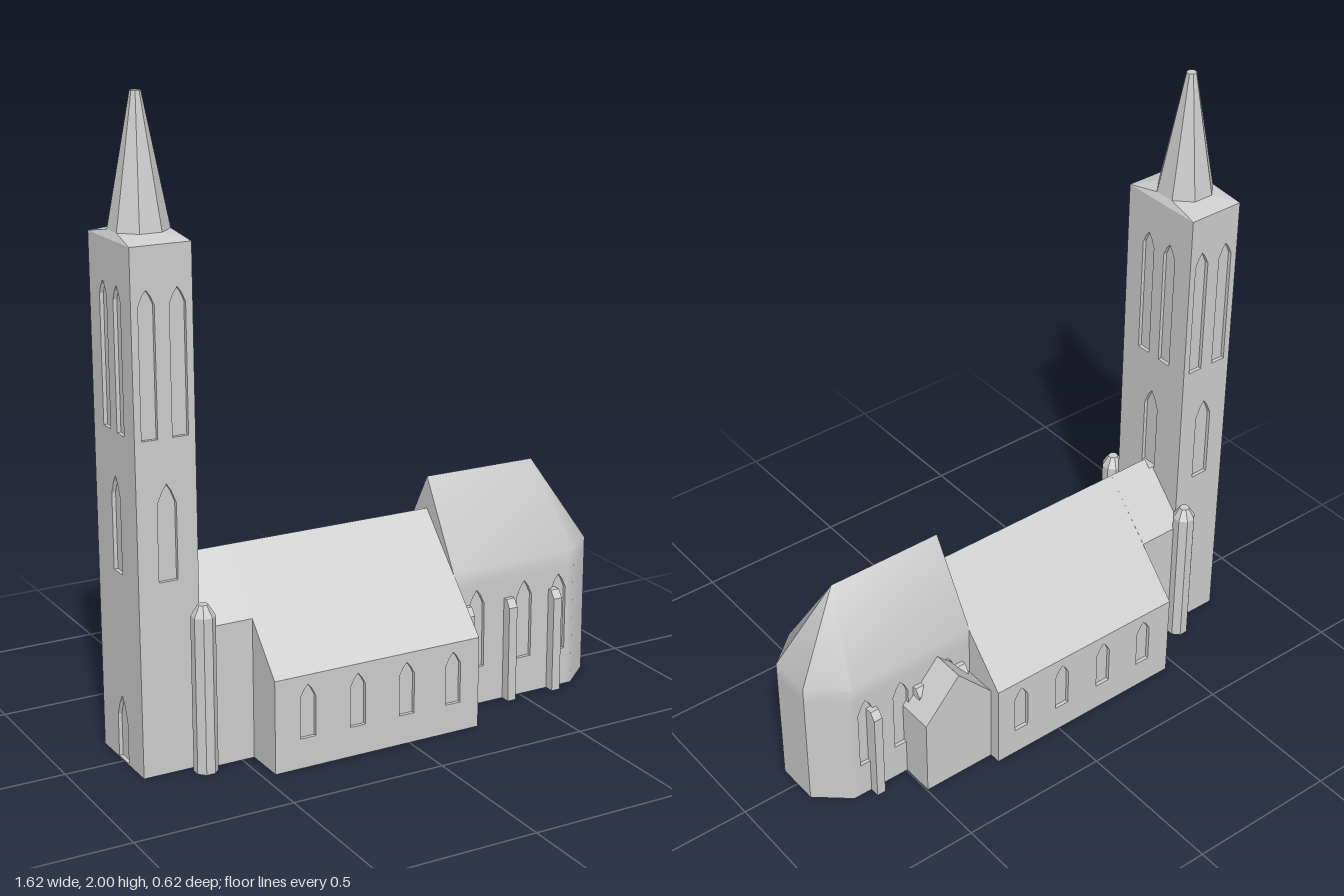
import * as THREE from 'three';
import { toCreasedNormals } from 'three/addons/utils/BufferGeometryUtils.js';
import { ConvexGeometry } from 'three/addons/geometries/ConvexGeometry.js';

const stone = new THREE.MeshStandardMaterial({ color: 0xcccccc });
stone.name = 'stone';
const D = 0.012; // depth of the window recesses

function add(group, name, geometry, x = 0, y = 0, z = 0, turn = 0) {
  const mesh = new THREE.Mesh(geometry, stone);
  mesh.name = name;
  mesh.position.set(x, y, z);
  mesh.rotation.y = turn;
  group.add(mesh);
  return mesh;
}

const polygon = (pts) => new THREE.Shape(pts.map(([x, y]) => new THREE.Vector2(x, y)));
const extrude = (shape, depth) => new THREE.ExtrudeGeometry(shape, { depth, bevelEnabled: false });

// Solid with a (z, y) profile running along x
function prismX(group, name, pts, x0, x1) {
  return add(group, name, extrude(polygon(pts), x1 - x0), x0, 0, 0, Math.PI / 2);
}

// Pointed window outline: centre, half width, sill, spring and tip
function lancet([cx, w, sill, spring, tip]) {
  return polygon([[cx - w, sill], [cx - w, spring], [cx - w * 0.5, spring + (tip - spring) * 0.62], [cx, tip],
    [cx + w * 0.5, spring + (tip - spring) * 0.62], [cx + w, spring], [cx + w, sill]]);
}

// Thin wall with window openings, outer face at local z = 0
function panel(x0, x1, top, windows) {
  const shape = polygon([[x0, 0], [x1, 0], [x1, top], [x0, top]]);
  shape.holes = windows.map(lancet);
  return extrude(shape, D).translate(0, 0, -D);
}

const flat = (g) => toCreasedNormals(g, 0.2);

function buildTower() {
  const g = new THREE.Group();
  g.name = 'tower';
  const W = 0.095, L = 0.145, H = 1.59;
  add(g, 'towerCore', new THREE.BoxGeometry(2 * (W - D), H, 2 * (L - D)), 0, H / 2, 0);
  const openings = [-0.048, 0.048].map((x) => [x, 0.025, 1.03, 1.42, 1.465]);
  openings.push([0, 0.03, 0.6, 0.835, 0.895]);
  const door = [0, 0.035, 0.004, 0.14, 0.21];
  add(g, 'towerFrontWall', panel(-W, W, H, openings), 0, 0, L);
  add(g, 'towerBackWall', panel(-W, W, H, openings), 0, 0, -L, Math.PI);
  add(g, 'towerInnerWall', panel(-L, L, H, openings), W, 0, 0, Math.PI / 2);
  add(g, 'towerEntranceWall', panel(-L, L, H, [...openings, door]), -W, 0, 0, -Math.PI / 2);

  // Low roof blending the rectangle into the octagonal spire
  const pts = [];
  for (const x of [-W, W]) for (const z of [-L, L]) pts.push(new THREE.Vector3(x, H, z));
  for (let i = 0; i < 8; i++) {
    const a = (i + 0.5) * Math.PI / 4;
    pts.push(new THREE.Vector3(0.09 * Math.cos(a), 1.61, 0.09 * Math.sin(a)));
  }
  add(g, 'towerRoof', new ConvexGeometry(pts));
  add(g, 'spire', flat(new THREE.CylinderGeometry(0.016, 0.09, 0.39, 8)), 0, 1.805, 0, Math.PI / 8);
  g.position.x = -0.715;
  return g;
}

function buildNave() {
  const g = new THREE.Group();
  g.name = 'nave';
  const R = 0.625, E = 0.295, Z = 0.31, x0 = -0.46, x1 = 0.247;
  prismX(g, 'naveBody', [[-Z + D, 0], [Z - D, 0], [Z - D, E], [Z, E], [0, R], [-Z, E], [-Z + D, E]], x0, x1);
  const mid = (x0 + x1) / 2, half = (x1 - x0) / 2;
  const xs = [-0.35, -0.18, -0.01, 0.155];
  for (const s of [1, -1]) {
    const windows = xs.map((x) => [s * (x - mid), 0.026, 0.095, 0.225, 0.265]);
    add(g, s > 0 ? 'naveFrontWall' : 'naveBackWall', panel(-half, half, E, windows), mid, 0, s * Z, s > 0 ? 0 : Math.PI);
  }
  // Narrow west bay and its clipped joint to the tower
  const w = 0.17, e = 0.445;
  prismX(g, 'westBay', [[-w, 0], [w, 0], [w, e], [0, R], [-w, e]], -0.605, x0);
  prismX(g, 'towerJoint', [[-w, 0], [w, 0], [w, e], [0.023, 0.6], [-0.023, 0.6], [-w, e]], -0.625, -0.605);
  return g;
}

function buildTurret(z) {
  const g = new THREE.Group();
  g.name = 'stairTurret';
  add(g, 'turretShaft', flat(new THREE.CylinderGeometry(0.037, 0.037, 0.49, 8)), 0, 0.245, 0, Math.PI / 8);
  add(g, 'turretCap', flat(new THREE.CylinderGeometry(0.016, 0.037, 0.035, 8)), 0, 0.5075, 0, Math.PI / 8);
  g.position.set(-0.625, 0, z);
  return g;
}

function buildChoir() {
  const g = new THREE.Group();
  g.name = 'choir';
  const Z = 0.162, E = 0.455, B = 0.4, x0 = 0.245, xb = 0.68;
  // Plan from the front wall, round the apse, to the back wall
  const half = [[x0, Z], [xb, Z], [0.7, Z], [0.805, 0.073]];
  const plan = [...half, ...half.map(([x, z]) => [x, -z]).reverse()];
  const pos = [];
  const tri = (...corners) => corners.forEach((c) => pos.push(...c));
  const at = (i, y) => [plan[i][0], y, plan[i][1]];
  const wall = (i, low, high) => {
    tri(at(i, low), at(i + 1, low), at(i + 1, high));
    tri(at(i, low), at(i + 1, high), at(i, high));
  };
  const west = [x0, 0.73, 0], east = [0.637, 0.73, 0];
  for (let i = 0; i < 7; i++) {
    wall(i, B, E);
    if (i > 0 && i < 6) wall(i, 0, B);
    tri(at(i, E), at(i + 1, E), i === 6 ? west : east);
  }
  tri(at(0, E), east, west);
  tri(at(6, E), west, east);
  // Gable above the nave
  tri(at(7, E), at(0, E), west);
  tri(at(7, B), at(0, B), at(0, E));
  tri(at(7, B), at(0, E), at(7, E));
  const shell = new THREE.BufferGeometry();
  shell.setAttribute('position', new THREE.Float32BufferAttribute(pos, 3));
  add(g, 'choirRoofAndApse', toCreasedNormals(shell, THREE.MathUtils.degToRad(41.5)));

  // Inner core closes the floor and backs the windows
  const core = plan.map(([x, z]) => [x > 0.75 ? x - 0.004 : x, -(z - Math.sign(z) * (Math.abs(z) > 0.1 ? D : 0.004))]);
  add(g, 'choirCore', extrude(polygon(core), E - 0.03).rotateX(-Math.PI / 2));

  const mid = (x0 + xb) / 2, w = (xb - x0) / 2;
  const buttress = polygon([[0, 0], [0.043, 0], [0.043, 0.315], [0.025, 0.34], [0, 0.34]]);
  for (const s of [1, -1]) {
    const side = s > 0 ? 'Front' : 'Back';
    const windows = [0.333, 0.512, 0.643].map((x) => [s * (x - mid), 0.028, 0.125, 0.335, 0.385]);
    add(g, `choir${side}Wall`, panel(-w, w, B, windows), mid, 0, s * Z, s > 0 ? 0 : Math.PI);
    for (const x of [0.29, 0.45, 0.62]) {
      add(g, `buttress${side}`, extrude(buttress, 0.03).translate(0, 0, -0.015), x, 0, s * (Z - 0.01), -s * Math.PI / 2);
    }
  }
  return g;
}

export function createModel() {
  const model = new THREE.Group();
  model.name = 'church';
  model.add(buildTower(), buildNave(), buildTurret(0.18), buildTurret(-0.18), buildChoir());

  // Gabled sacristy behind the choir
  const sacristy = polygon([[0.24, 0], [0.497, 0], [0.497, 0.27], [0.37, 0.412], [0.24, 0.27]]);
  add(model, 'sacristy', extrude(sacristy, 0.13), 0, 0, -0.272);
  return model;
}
